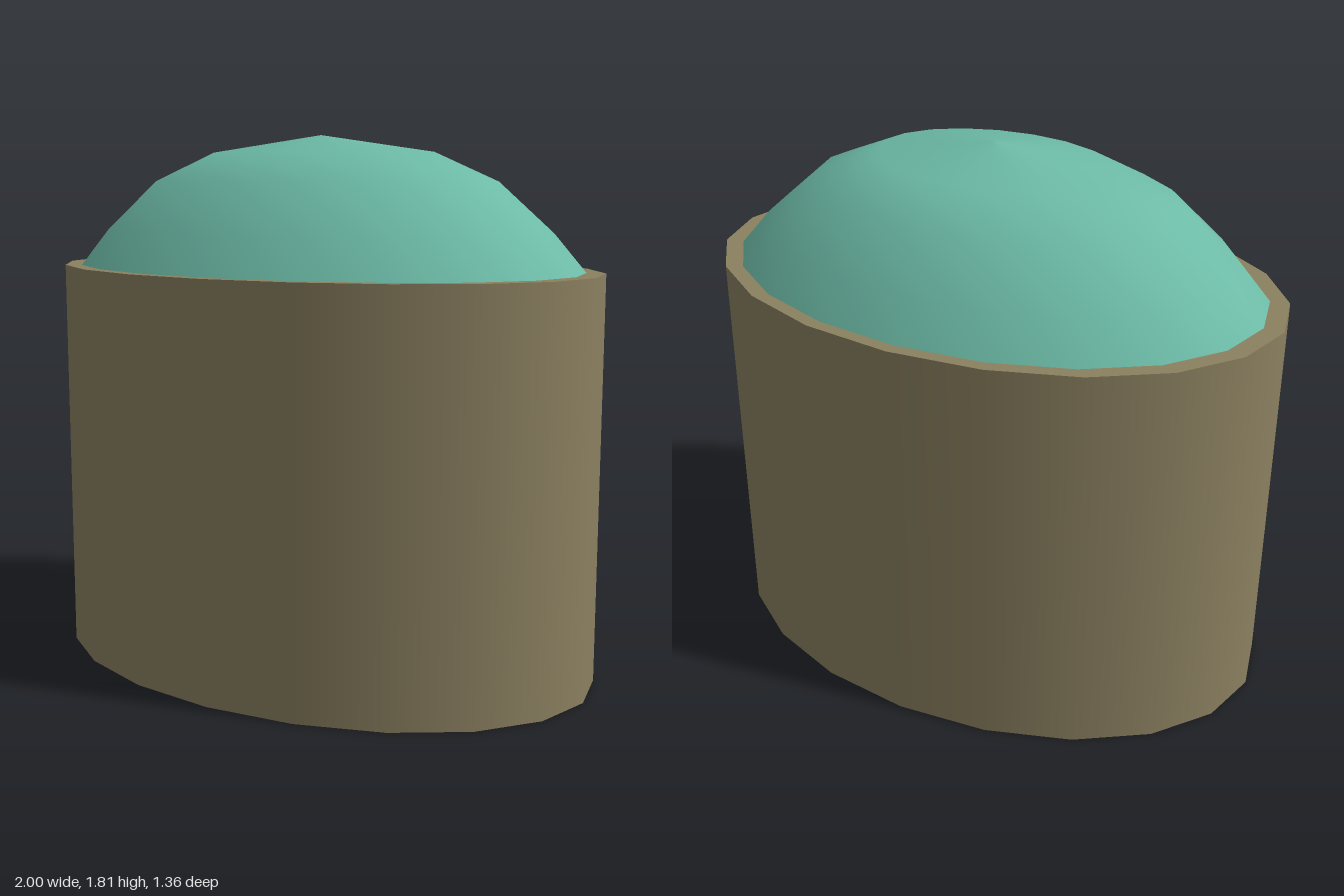
import * as THREE from 'three';

const SIDES = 20;
const DEPTH = 0.68; // oval: depth relative to width
const WALL_TOP = 1.365;

function part(name, geometry, color) {
  geometry.scale(1, 1, DEPTH);
  const mesh = new THREE.Mesh(geometry, new THREE.MeshStandardMaterial({ color }));
  mesh.name = name;
  return mesh;
}

export function createModel() {
  const group = new THREE.Group();
  group.name = 'domedDrum';

  // Oval drum with straight walls
  const drum = new THREE.CylinderGeometry(1, 1, WALL_TOP, SIDES);
  drum.translate(0, WALL_TOP / 2, 0);
  group.add(part('drum', drum, 0x8b8060));

  // Faceted dome, set in from the drum's rim
  const profile = [
    [0.935, WALL_TOP], [0.825, 1.49], [0.635, 1.655], [0.41, 1.752], [0, 1.81],
  ].map(([r, y]) => new THREE.Vector2(r, y));
  const dome = new THREE.LatheGeometry(profile, SIDES);
  group.add(part('dome', dome, 0x6cbaa6));

  return group;
}
